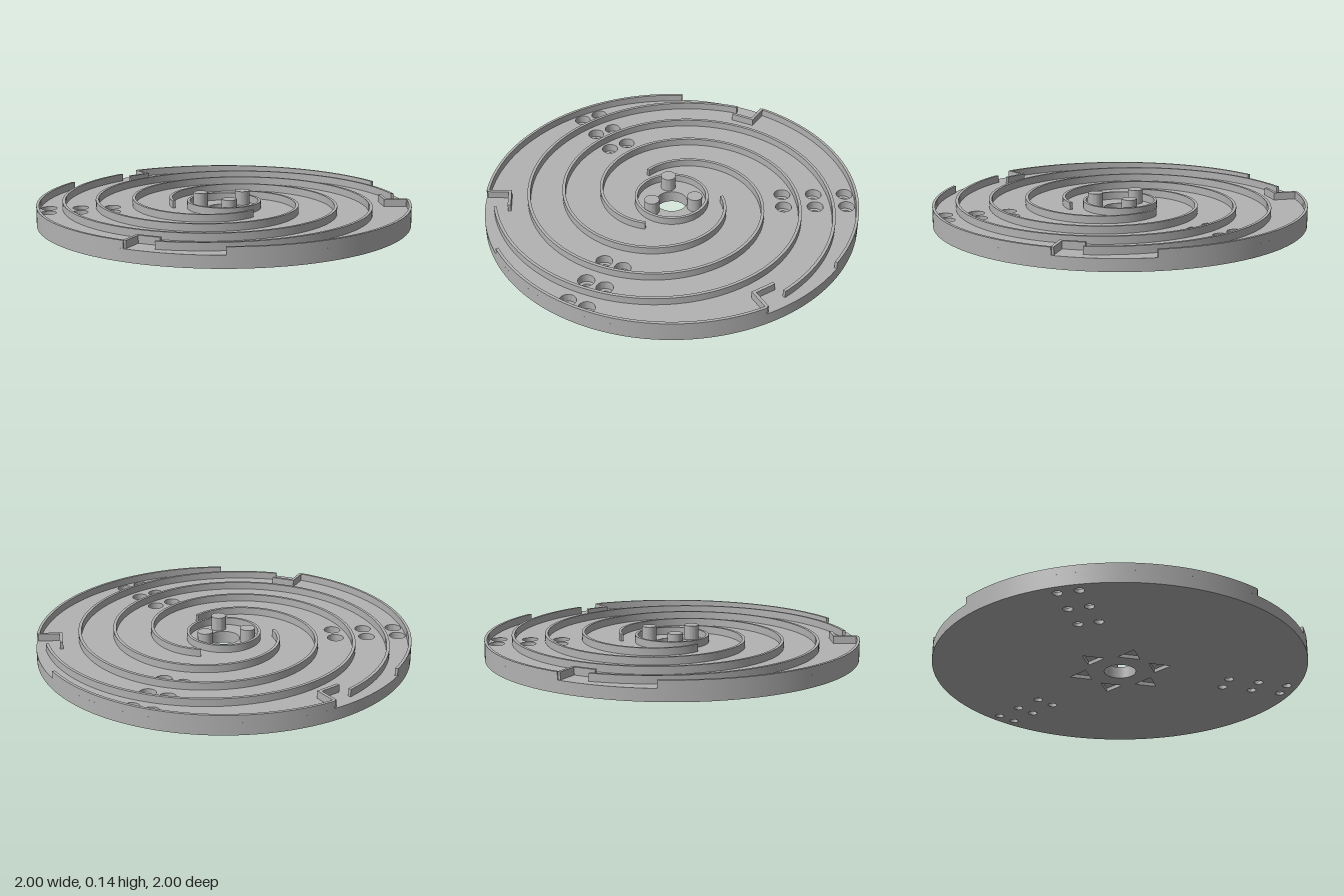
import * as THREE from 'three';
import { toCreasedNormals } from 'three/addons/utils/BufferGeometryUtils.js';

const SPLIT = 0.02, FLOOR = 0.065, TOP = 0.105, PEG_TOP = 0.14;
const rad = THREE.MathUtils.degToRad;
const TURNS = [0, 120, 240];

// Plan point from radius and angle, measured from +x towards +z (shape y is -z)
const polar = (r, deg) => new THREE.Vector2(r * Math.cos(rad(deg)), -r * Math.sin(rad(deg)));

function circle(c, r, n) {
  return Array.from({ length: n }, (_, i) => polar(r, (-i * 360) / n).add(c));
}

// Upright slab with a plan outline, optional holes, between two heights
function slab(outline, holes, y0, y1) {
  const shape = new THREE.Shape(outline);
  shape.holes = holes.map((h) => new THREE.Path(h));
  const geo = new THREE.ExtrudeGeometry(shape, { depth: y1 - y0, bevelEnabled: false });
  geo.rotateX(-Math.PI / 2).translate(0, y0, 0);
  return toCreasedNormals(geo, 0.5);
}

// Thin wall following a centre line, with mitred corners
function wall(line, thickness) {
  const a = [], b = [];
  line.forEach((p, i) => {
    const before = p.clone().sub(line[Math.max(i - 1, 0)]).normalize();
    const after = line[Math.min(i + 1, line.length - 1)].clone().sub(p).normalize();
    const t = before.clone().add(after).normalize();
    const ref = i ? before : after;
    const n = new THREE.Vector2(-t.y, t.x).multiplyScalar(thickness / 2 / t.dot(ref));
    a.push(p.clone().add(n));
    b.unshift(p.clone().sub(n));
  });
  return slab([...a, ...b], [], FLOOR, TOP);
}

export function createModel() {
  const group = new THREE.Group();
  const grey = new THREE.MeshStandardMaterial({ color: 0xb2b2b2 });
  grey.name = 'grey';
  const add = (name, geo, turn = 0) => {
    const mesh = new THREE.Mesh(geo, grey);
    mesh.name = name;
    mesh.rotation.y = -rad(turn);
    group.add(mesh);
  };
  const origin = new THREE.Vector2();

  // Screw hole centres: three pairs in each of three groups
  const screws = [];
  for (const turn of TURNS) {
    for (const r of [0.599, 0.769, 0.937]) {
      for (const side of [-1, 1]) {
        const spread = THREE.MathUtils.radToDeg(Math.atan(0.0544 / r));
        screws.push(polar(Math.hypot(r, 0.0544), -45.8 + turn + side * spread));
      }
    }
  }

  // Base disc: lower layer with small holes and triangular recesses, upper with wide bores
  const rimCircle = circle(origin, 1, 180);
  const bore = circle(origin, 0.085, 48);
  const triangles = [];
  for (let i = 0; i < 6; i++) {
    triangles.push(circle(polar(0.21, 44 + i * 60), 0.07, 3).map((p) => p));
    const c = polar(0.21, 44 + i * 60);
    triangles[i] = [0, 120, 240].map((d) => polar(0.07, 44 + i * 60 + d).add(c));
  }
  add('baseLower', slab(rimCircle,
    [bore, ...triangles, ...screws.map((c) => circle(c, 0.025, 24))], 0, SPLIT));
  add('baseUpper', slab(rimCircle,
    [bore, ...screws.map((c) => circle(c, 0.043, 32))], SPLIT, FLOOR));

  // Ring around the centre
  add('centreRing', slab(circle(origin, 0.198, 72), [circle(origin, 0.183, 72)], FLOOR, TOP));

  // Spiral: radius against angle, smoothed
  const spiral = new THREE.SplineCurve([
    [195.6, 0.268], [282, 0.415], [368, 0.565], [458, 0.712], [547, 0.843], [609, 0.942],
  ].map(([d, r]) => new THREE.Vector2(d, r)));
  const spiralLine = spiral.getPoints(150).map((p) => polar(p.y, p.x));
  const spiralGeo = wall(spiralLine, 0.016);

  // Rim sections, hooked ends and pegs, three of each
  const rimLine = Array.from({ length: 47 }, (_, i) => polar(0.9925, 17.3 + (91.1 * i) / 46));
  const rimGeo = wall(rimLine, 0.015);
  const hookGeo = wall([polar(0.993, 17.1), polar(0.872, 17.3), polar(0.868, 9.2)], 0.017);
  const pegGeo = slab(circle(polar(0.133, 97), 0.04, 36), [], FLOOR, PEG_TOP);
  for (const turn of TURNS) {
    add('spiralWall', spiralGeo, turn);
    add('rimWall', rimGeo, turn);
    add('rimHook', hookGeo, turn);
    add('peg', pegGeo, turn);
  }
  return group;
}
